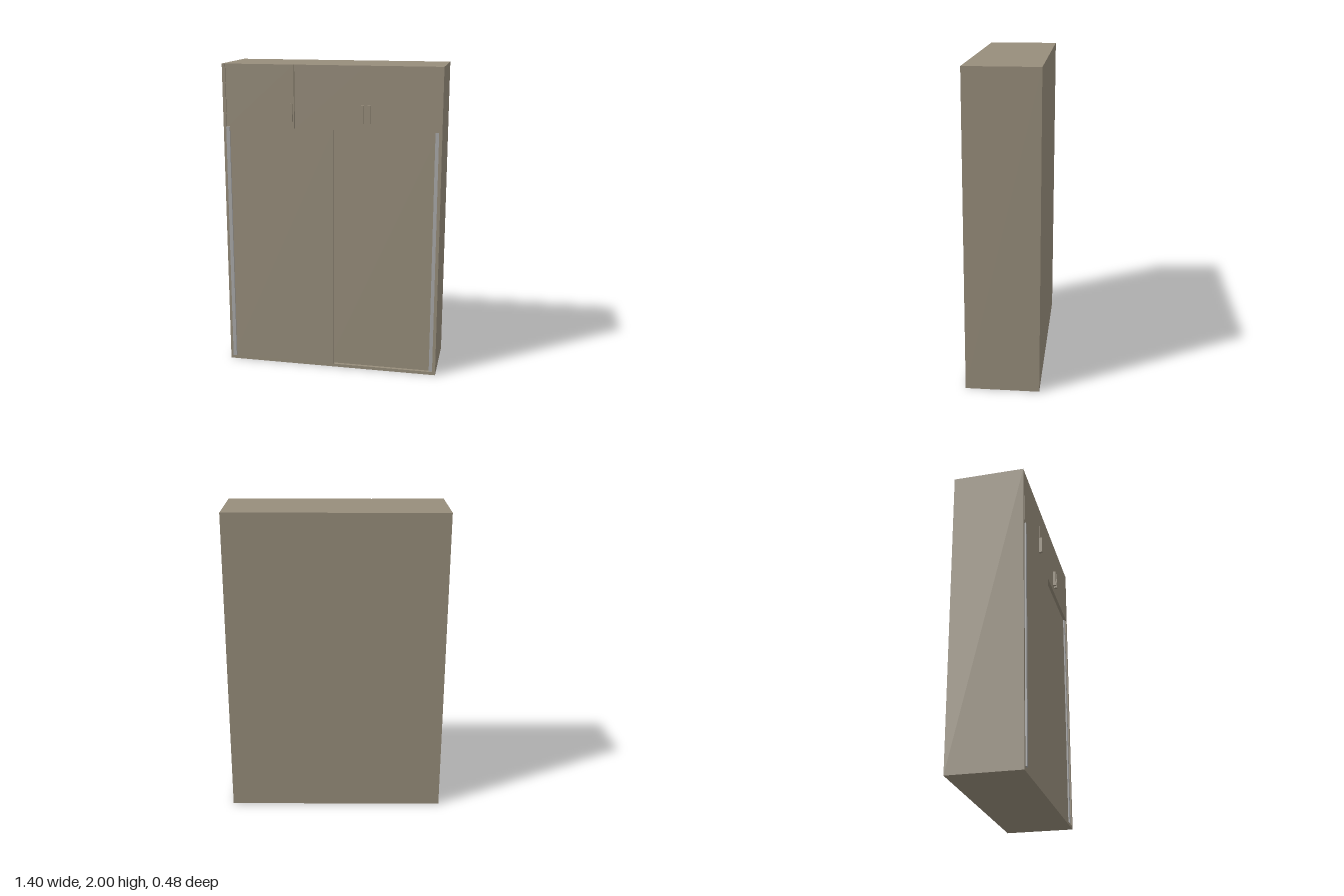
import * as THREE from 'three';

export function createModel() {
  const group = new THREE.Group();
  group.name = 'wardrobe';
  const wood = new THREE.MeshStandardMaterial({ color: 0x978d7b });
  const metal = new THREE.MeshStandardMaterial({ color: 0xa9a9a9 });

  // box given by its extents on each axis
  function box(name, [x0, x1], [y0, y1], [z0, z1], material = wood) {
    const mesh = new THREE.Mesh(new THREE.BoxGeometry(x1 - x0, y1 - y0, z1 - z0), material);
    mesh.position.set((x0 + x1) / 2, (y0 + y1) / 2, (z0 + z1) / 2);
    mesh.name = name;
    group.add(mesh);
  }

  const back = -0.24, front = 0.22, t = 0.02;

  // carcass panels
  box('rightSide', [-0.7, -0.68], [0, 2], [back, front]);
  box('leftSide', [0.68, 0.7], [0, 2], [back, front]);
  box('bottomPanel', [-0.68, 0.68], [0, t], [back, front]);
  box('topPanel', [-0.68, 0.68], [2 - t, 2], [back, front - t]);
  box('backPanel', [-0.68, 0.68], [t, 2 - t], [back, back + t]);
  box('middleShelf', [-0.68, 0.68], [1.6, 1.62], [back + t, front - t]);
  box('upperDivider', [-0.24, -0.22], [1.62, 2 - t], [back + t, front - t]);

  // upper cupboard doors
  const doors = [[-0.677, -0.233], [-0.227, 0.225], [0.225, 0.68]];
  for (const span of doors) box('upperDoor', span, [1.6, 2], [front - t, front]);

  // upper door handles
  for (const x of [-0.25, 0.205, 0.245]) {
    box('upperHandle', [x - 0.009, x + 0.009], [1.645, 1.757], [front, 0.24]);
  }

  // sliding doors, one running behind the other
  box('frontSlidingDoor', [-0.68, 0.02], [t, 1.6], [front - t, front]);
  box('rearSlidingDoor', [-0.02, 0.68], [t, 1.6], [front - 2 * t, front - t]);

  // metal pull strips along the outer door edges
  box('frontDoorPull', [-0.68, -0.657], [0.025, 1.6], [front, 0.23], metal);
  box('rearDoorPull', [0.657, 0.68], [t, 1.6], [front - t, 0.21], metal);

  return group;
}
